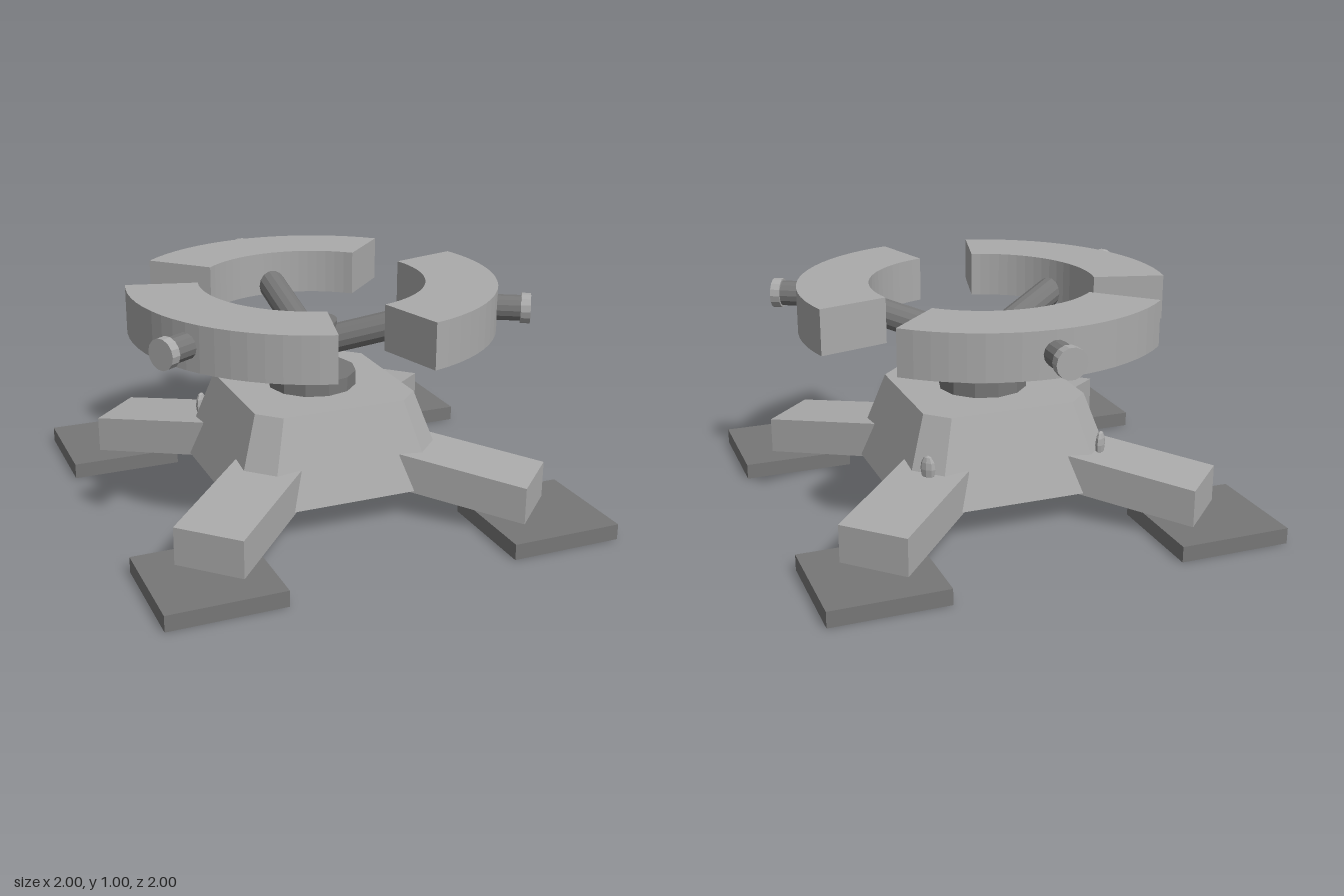
import * as THREE from 'three';

const light = new THREE.MeshStandardMaterial({ color: 0xaaaaaa, flatShading: true });
light.name = 'light grey';
const dark = new THREE.MeshStandardMaterial({ color: 0x777777, flatShading: true });
dark.name = 'dark grey';

function add(parent, name, geometry, material, x = 0, y = 0, z = 0) {
  const mesh = new THREE.Mesh(geometry, material);
  mesh.name = name;
  mesh.position.set(x, y, z);
  parent.add(mesh);
  return mesh;
}

// Cylinder running between two points
function rod(parent, name, a, b, radius, sides, material) {
  const dir = b.clone().sub(a);
  const mesh = add(parent, name, new THREE.CylinderGeometry(radius, radius, dir.length(), sides), material);
  mesh.position.copy(a).add(b).multiplyScalar(0.5);
  mesh.quaternion.setFromUnitVectors(new THREE.Vector3(0, 1, 0), dir.normalize());
  return mesh;
}

// Square frustum with cut corners
function frustum(bottom, top, y0, y1) {
  const ring = ([h, c], y) => [[h, c], [c, h], [-c, h], [-h, c], [-h, -c], [-c, -h], [c, -h], [h, -c]]
    .map(([x, z]) => [x, y, z]);
  const lo = ring(bottom, y0), hi = ring(top, y1), pos = [];
  for (let i = 0; i < 8; i++) {
    const j = (i + 1) % 8;
    pos.push(...lo[i], ...hi[i], ...hi[j], ...lo[i], ...hi[j], ...lo[j]);
    pos.push(0, y1, 0, ...hi[j], ...hi[i], 0, y0, 0, ...lo[i], ...lo[j]);
  }
  const g = new THREE.BufferGeometry();
  g.setAttribute('position', new THREE.Float32BufferAttribute(pos, 3));
  g.computeVertexNormals();
  return g;
}

// Leg profile: a sloping bar with upright ends, along +x
function legGeometry() {
  const s = new THREE.Shape();
  s.moveTo(0.48, 0.135);
  s.lineTo(1.047, 0.07);
  s.lineTo(1.047, 0.235);
  s.lineTo(0.48, 0.3);
  s.closePath();
  return new THREE.ExtrudeGeometry(s, { depth: 0.31, bevelEnabled: false }).translate(0, 0, -0.155);
}

// Quarter ring centred on +x
function ringGeometry() {
  const s = new THREE.Shape();
  s.absarc(0, 0, 0.815, -Math.PI / 4, Math.PI / 4, false);
  s.absarc(0, 0, 0.5, Math.PI / 4, -Math.PI / 4, true);
  s.closePath();
  return new THREE.ExtrudeGeometry(s, { depth: 0.2, bevelEnabled: false, curveSegments: 9 })
    .rotateX(-Math.PI / 2).translate(0, 0.8, 0);
}

export function createModel() {
  const model = new THREE.Group();
  model.name = 'ringStand';

  // Body and the plate under it
  add(model, 'body', frustum([0.5, 0.38], [0.375, 0.28], 0.137, 0.517), light);
  add(model, 'basePlate', new THREE.BoxGeometry(0.5, 0.07, 0.5), dark, 0, 0.105, 0);

  // Four legs, each on a square foot
  const leg = legGeometry();
  for (let i = 0; i < 4; i++) {
    const a = Math.PI / 4 + i * Math.PI / 2;
    add(model, 'leg', leg, light).rotation.y = a;
    add(model, 'foot', new THREE.BoxGeometry(0.5, 0.07, 0.5), dark,
      0.75 * Math.sign(Math.cos(a)), 0.035, -0.75 * Math.sign(Math.sin(a)));
  }

  // Small fins on the rear corners of the body
  for (const side of [-1, 1]) {
    const fin = add(model, 'cornerFin', new THREE.SphereGeometry(1, 8, 6), light, side * 0.4, 0.32, -0.41);
    fin.scale.set(0.02, 0.06, 0.035);
    fin.rotation.y = side * Math.PI / 4;
  }

  // Hub
  add(model, 'hubDisc', new THREE.CylinderGeometry(0.2, 0.2, 0.068, 12), dark, 0, 0.548, 0);
  add(model, 'hubColumn', new THREE.CylinderGeometry(0.115, 0.115, 0.24, 24), dark, 0, 0.695, 0);

  // Three arms carrying ring sections with capped pipes
  const v = (x, y) => new THREE.Vector3(x, y, 0);
  const ring = ringGeometry();
  for (let i = 0; i < 3; i++) {
    const arm = new THREE.Group();
    arm.name = 'ringArm';
    arm.rotation.y = Math.PI / 2 + i * Math.PI * 2 / 3;
    rod(arm, 'spoke', v(0, 0.7), v(0.64, 0.885), 0.065, 14, dark);
    add(arm, 'ringSection', ring, light);
    rod(arm, 'pipe', v(0.7, 0.903), v(0.92, 0.903), 0.056, 14, dark);
    rod(arm, 'pipeCap', v(0.915, 0.903), v(0.957, 0.903), 0.066, 14, light);
    model.add(arm);
  }
  return model;
}
